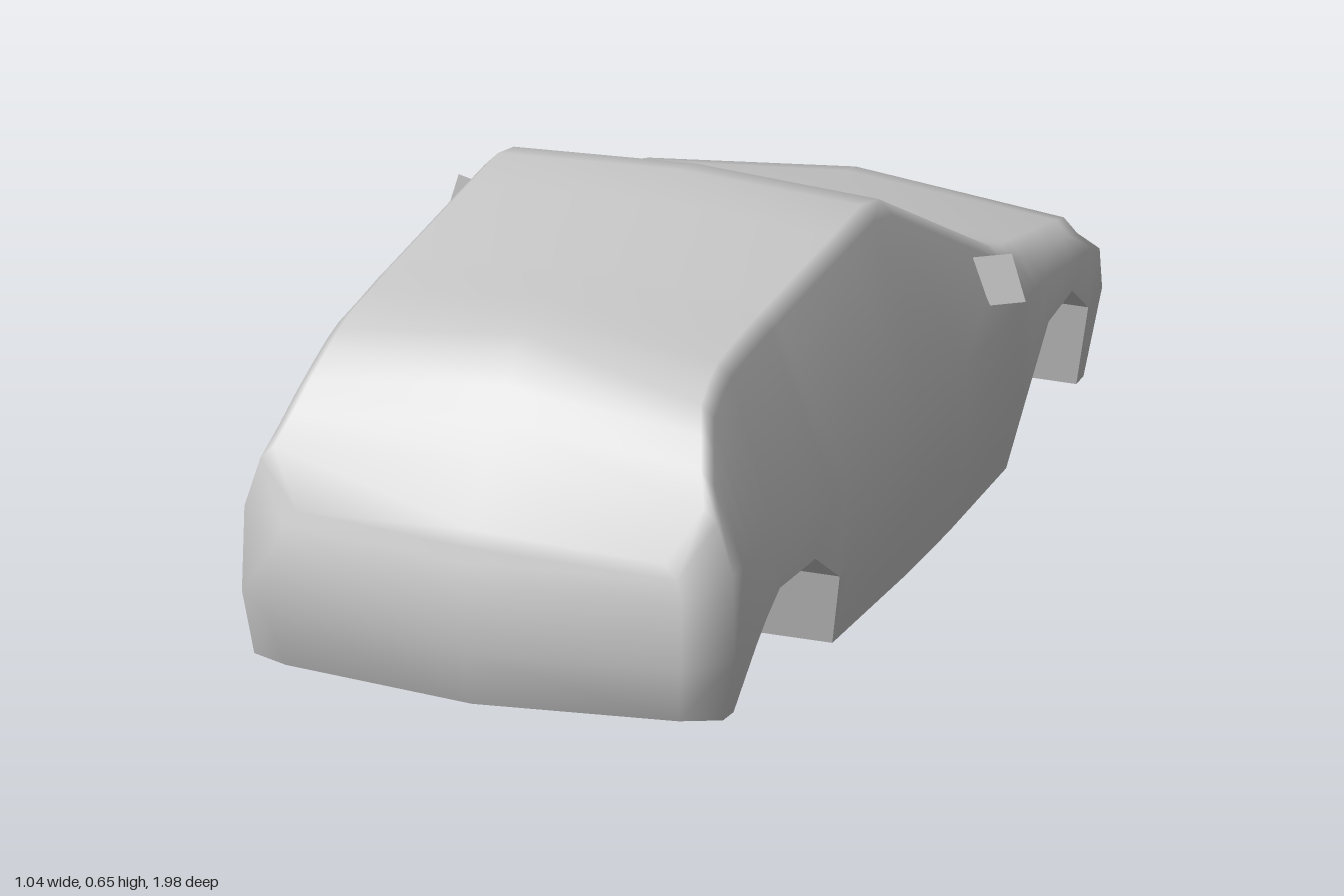
import * as THREE from 'three';

// Cross-sections from tail (+z) to nose (-z):
// z, wheel arch height (0 = none), belt height, roof/hood edge height, its half width, centre height
const STATIONS = [
  [0.955, 0, 0.29, 0.355, 0.33, 0.385],
  [0.87, 0, 0.335, 0.45, 0.385, 0.485],
  [0.83, 0, 0.335, 0.50, 0.365, 0.535],
  [0.79, 0.18, 0.335, 0.545, 0.35, 0.585],
  [0.75, 0.215, 0.335, 0.585, 0.335, 0.63],
  [0.70, 0.25, 0.335, 0.607, 0.33, 0.643],
  [0.65, 0.25, 0.335, 0.62, 0.327, 0.655],
  [0.56, 0.25, 0.335, 0.625, 0.325, 0.655],
  [0.46, 0.18, 0.335, 0.63, 0.325, 0.655],
  [0.42, 0, 0.335, 0.63, 0.325, 0.655],
  [0.10, 0, 0.335, 0.636, 0.325, 0.655],
  [-0.04, 0, 0.335, 0.638, 0.325, 0.655],
  [-0.12, 0, 0.335, 0.618, 0.327, 0.635],
  [-0.41, 0, 0.335, 0.435, 0.41, 0.478],
  [-0.45, 0.18, 0.335, 0.415, 0.405, 0.457],
  [-0.50, 0.215, 0.33, 0.40, 0.40, 0.43],
  [-0.55, 0.25, 0.33, 0.387, 0.395, 0.417],
  [-0.69, 0.25, 0.30, 0.35, 0.388, 0.383],
  [-0.79, 0.18, 0.28, 0.325, 0.38, 0.357],
  [-0.83, 0, 0.27, 0.312, 0.378, 0.347],
  [-0.88, 0, 0.25, 0.297, 0.372, 0.335],
  [-0.94, 0, 0.205, 0.255, 0.345, 0.28],
];
const FLOOR = [[-0.97, 0.003], [-0.83, 0.02], [-0.41, 0.035], [0.42, 0.04], [0.83, 0.07], [0.96, 0.07]];
const TAIL = [[0.07, 0.95], [0.2, 1], [0.385, 0.95]];
const NOSE = [[0.003, -0.965], [0.16, -1], [0.285, -0.95]];
const WELL_X = 0.26;
const LAST = STATIONS.length - 1;

// Piecewise linear lookup
function lerpTable(t, v) {
  if (v <= t[0][0]) return t[0][1];
  for (let i = 1; i < t.length; i++) {
    if (v <= t[i][0]) {
      return THREE.MathUtils.mapLinear(v, t[i - 1][0], t[i][0], t[i - 1][1], t[i][1]);
    }
  }
  return t[t.length - 1][1];
}

const material = (options = {}) => new THREE.MeshStandardMaterial({ color: 0xcccccc, ...options });

function makeMesh(name, positions, index, mat) {
  const g = new THREE.BufferGeometry();
  g.setAttribute('position', new THREE.Float32BufferAttribute(positions, 3));
  if (index) g.setIndex(index);
  g.computeVertexNormals();
  const mesh = new THREE.Mesh(g, mat);
  mesh.name = name;
  return mesh;
}

// One ring of 11 points: left sill, over the roof, to right sill
function makeRing([z, arch, belt, edge, edgeX, top], s) {
  const end = s === 0 ? 1 : s === LAST ? -1 : 0;
  const wide = end ? 0.37 : 0.487 - 0.06 * z * z;
  const low = Math.max(arch, lerpTable(FLOOR, z));
  const sillX = wide * (0.918 + 0.082 * Math.min(1, low / 0.18));
  const half = [
    [sillX, low], [wide, Math.max(0.18, low)], [wide * 0.99, belt],
    [edgeX + 0.024, edge - 0.025], [edgeX, edge],
  ];
  // End rings follow the curve of the tail or nose
  const zAt = (y, inset) => (end ? lerpTable(end > 0 ? TAIL : NOSE, y) - end * inset : z);
  const left = half.map(([x, y]) => [x, y, zAt(y, 0.05)]);
  const right = left.map(([x, y, pz]) => [-x, y, pz]).reverse();
  return [...left, [0, top, zAt(top, 0)], ...right];
}

function bodyShell(rings) {
  const pos = rings.flat(2);
  const index = [];
  const quad = (a, b, c, d) => index.push(a, b, c, a, c, d);
  for (let s = 0; s < LAST; s++) {
    for (let i = 0; i < 10; i++) {
      const a = s * 11 + i;
      quad(a, a + 11, a + 12, a + 1);
    }
  }
  // Tail and nose: strips from the end ring in to a raised centre line
  for (const [s, profile] of [[0, TAIL], [LAST, NOSE]]) {
    const start = pos.length / 3;
    for (let i = 0; i < 5; i++) {
      const y = rings[s][i][1];
      pos.push(0, y, lerpTable(profile, y));
    }
    const centre = (i) => (i === 5 ? s * 11 + 5 : start + Math.min(i, 10 - i));
    for (let i = 0; i < 10; i++) {
      const a = s * 11 + i;
      if (s === 0) quad(a, a + 1, centre(i + 1), centre(i));
      else quad(a, centre(i), centre(i + 1), a + 1);
    }
  }
  return makeMesh('bodyShell', pos, index, material());
}

// Flat floor and the four wheel wells
function underside(rings) {
  const floor = [];
  const wells = [];
  for (const side of [1, -1]) {
    const quad = (out, ...corners) => {
      const p = corners.map(([x, y, z]) => [side * x, y, z]);
      if (side < 0) p.reverse();
      out.push(...[p[0], p[1], p[2], p[0], p[2], p[3]].flat());
    };
    for (let s = 0; s < LAST; s++) {
      const [x1, low1, z1] = rings[s][0];
      const [x2, low2, z2] = rings[s + 1][0];
      const f1 = lerpTable(FLOOR, STATIONS[s][0]);
      const f2 = lerpTable(FLOOR, STATIONS[s + 1][0]);
      const isWell = STATIONS[s][1] > 0 || STATIONS[s + 1][1] > 0;
      const in1 = isWell ? WELL_X : x1;
      const in2 = isWell ? WELL_X : x2;
      quad(floor, [0, f1, z1], [0, f2, z2], [in2, f2, z2], [in1, f1, z1]);
      if (isWell) {
        quad(wells, [WELL_X, low1, z1], [WELL_X, low2, z2], [x2, low2, z2], [x1, low1, z1]);
        quad(wells, [WELL_X, f1, z1], [WELL_X, f2, z2], [WELL_X, low2, z2], [WELL_X, low1, z1]);
      }
    }
    // Floor tips under the tail and nose
    const [xt, yt, zt] = rings[0][0];
    const [xn, yn, zn] = rings[LAST][0];
    quad(floor, [0, yt, zt], [xt, yt, zt], [0, yt, 0.95], [0, yt, 0.95]);
    const tip = [0, yn, lerpTable(NOSE, yn)];
    quad(floor, [0, yn, zn], tip, [xn, yn, zn], [xn, yn, zn]);
  }
  const mat = material({ flatShading: true, side: THREE.DoubleSide });
  return [makeMesh('floor', floor, null, mat), makeMesh('wheelWells', wells, null, mat)];
}

// Door mirror: a tapered wedge with its flat glass facing the tail
function doorMirror(side) {
  const glass = [[0.425, 0.455], [0.495, 0.472], [0.52, 0.388], [0.455, 0.372]]
    .map(([x, y]) => [side * x, y, -0.305]);
  const apex = [side * 0.44, 0.4, -0.385];
  const faces = [[glass[0], glass[2], glass[1]], [glass[0], glass[3], glass[2]]];
  glass.forEach((p, i) => faces.push([p, glass[(i + 1) % 4], apex]));
  if (side < 0) faces.forEach((f) => f.reverse());
  return makeMesh(side > 0 ? 'leftMirror' : 'rightMirror', faces.flat(2), null,
    material({ flatShading: true }));
}

export function createModel() {
  const car = new THREE.Group();
  car.name = 'carBody';
  const rings = STATIONS.map(makeRing);
  car.add(bodyShell(rings), ...underside(rings), doorMirror(1), doorMirror(-1));
  return car;
}
